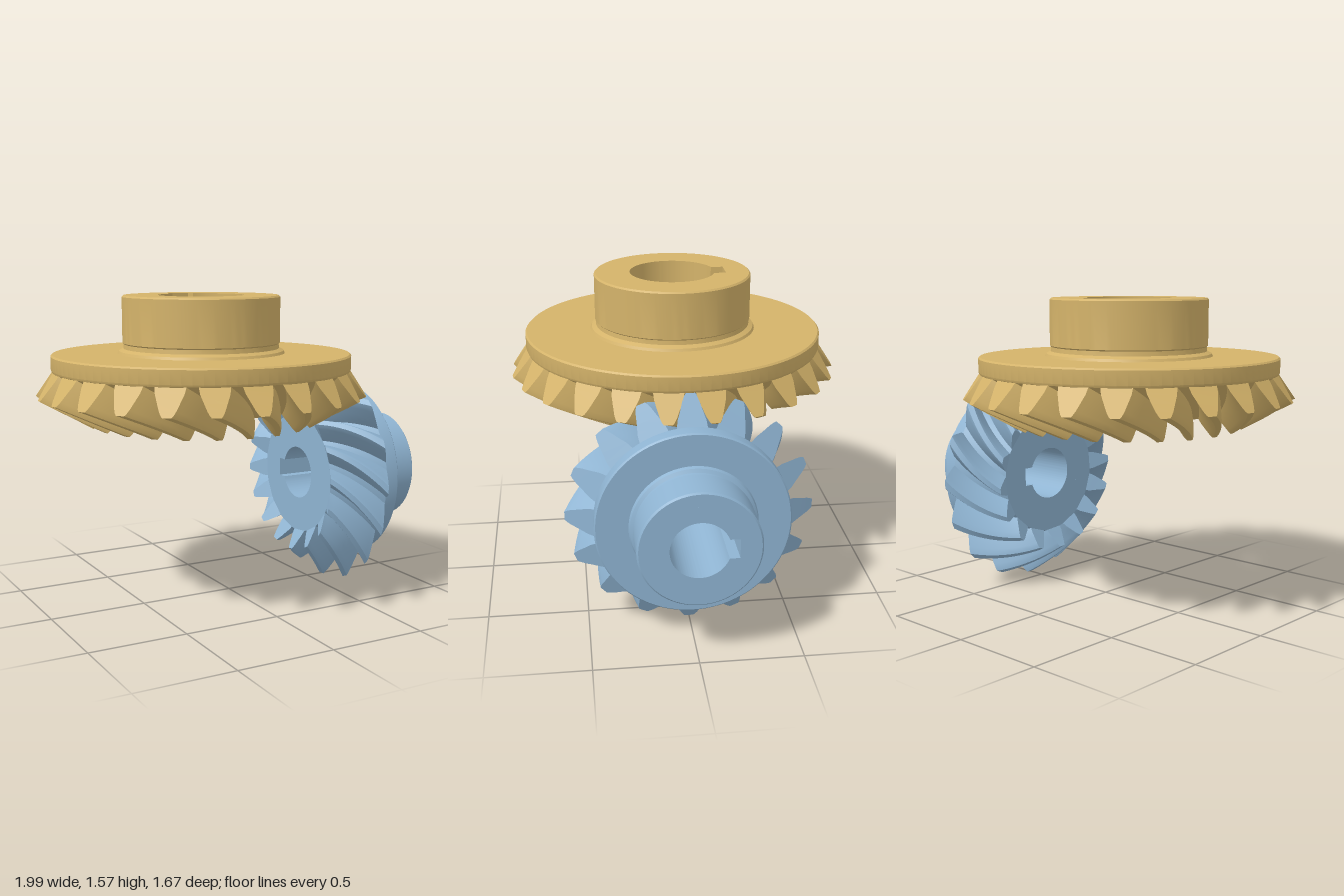
import * as THREE from 'three';
import { toCreasedNormals } from 'three/addons/utils/BufferGeometryUtils.js';

const INNER = 0.695; // inner tooth end, as a fraction of the cone distance
const DEDENDUM = 0.08;

// One spiral tooth, lofted towards the cone apex at the local origin.
function toothGeometry({ pitchR, pitchH, addendum, twist }) {
  const cone = Math.hypot(pitchR, pitchH);
  const nr = pitchH / cone, nh = -pitchR / cone;
  // height above the pitch cone, half thickness
  const flank = [[-DEDENDUM - 0.008, 0.073], [-0.045, 0.067], [0, 0.052],
    [addendum * 0.55, 0.039], [addendum * 0.85, 0.029], [addendum, 0.021]];
  const loop = [
    ...flank.map(([a, w]) => [a, w]),
    ...flank.slice().reverse().map(([a, w]) => [a, -w]),
  ];
  const M = loop.length, steps = 12;
  const pos = [], index = [];
  for (let k = 0; k <= steps; k++) {
    const t = k / steps;
    const s = 1 + (INNER - 1) * t;
    for (const [a, w] of loop) {
      const r = pitchR + nr * a, h = pitchH + nh * a;
      const angle = w / r + twist * t;
      pos.push(r * s * Math.sin(angle), h * s, r * s * Math.cos(angle));
    }
  }
  const quad = (a, b, c, d) => index.push(a, b, c, a, c, d);
  for (let k = 0; k < steps; k++) {
    for (let j = 0; j < M; j++) {
      const n = (j + 1) % M;
      quad(k * M + j, k * M + n, (k + 1) * M + n, (k + 1) * M + j);
    }
  }
  // end caps
  const last = steps * M;
  for (let j = 0; j < flank.length - 1; j++) {
    quad(M - 1 - j, M - 2 - j, j + 1, j);
    quad(last + j, last + j + 1, last + M - 2 - j, last + M - 1 - j);
  }
  const g = new THREE.BufferGeometry();
  g.setAttribute('position', new THREE.Float32BufferAttribute(pos, 3));
  g.setIndex(index);
  return toCreasedNormals(g, 0.5);
}

// Central sleeve with a round bore and a keyway towards -z.
function coreGeometry({ coreR, boreR, keyHalf, keyDepth, bottom, top }) {
  const shape = new THREE.Shape().absarc(0, 0, coreR, 0, Math.PI * 2, false);
  const hole = new THREE.Path();
  const a = Math.asin(keyHalf / boreR);
  hole.absarc(0, 0, boreR, Math.PI / 2 - a, Math.PI / 2 + a, true);
  hole.lineTo(-keyHalf, keyDepth);
  hole.lineTo(keyHalf, keyDepth);
  hole.closePath();
  shape.holes.push(hole);
  const g = new THREE.ExtrudeGeometry(shape, {
    depth: top - bottom, bevelEnabled: false, curveSegments: 64,
  });
  g.rotateX(-Math.PI / 2).translate(0, bottom, 0);
  return toCreasedNormals(g, 0.5);
}

// Complete bevel gear around local y, with its cone apex at the origin.
function bevelGear(spec, material) {
  const { pitchR, pitchH, teeth, phase, coreR, back } = spec;
  const gear = new THREE.Group();
  const add = (geometry, name) => {
    const mesh = new THREE.Mesh(geometry, material);
    mesh.name = name;
    gear.add(mesh);
    return mesh;
  };

  const cone = Math.hypot(pitchR, pitchH);
  const rootR = pitchR - DEDENDUM * pitchH / cone;
  const rootH = pitchH + DEDENDUM * pitchR / cone;
  const bottom = rootH * INNER;
  const top = back[back.length - 1][1];

  // web, root cone, rim disc, groove and hub
  const profile = [[coreR, bottom], [rootR * INNER, bottom], [rootR, rootH], ...back, [coreR, top]]
    .map(([r, h]) => new THREE.Vector2(r, h));
  add(toCreasedNormals(new THREE.LatheGeometry(profile, 96), 0.4), 'gearBody');
  add(coreGeometry({ ...spec, bottom, top }), 'keyedBore');

  const tooth = toothGeometry(spec);
  for (let i = 0; i < teeth; i++) {
    add(tooth, 'tooth').rotation.y = (i + phase) * Math.PI * 2 / teeth;
  }
  return gear;
}

export function createModel() {
  const brass = new THREE.MeshStandardMaterial({ color: 0xd4b36a });
  brass.name = 'brass';
  const steelBlue = new THREE.MeshStandardMaterial({ color: 0x8fb4d2 });
  steelBlue.name = 'steelBlue';

  const crown = bevelGear({
    pitchR: 0.8, pitchH: 0.533, teeth: 24, phase: 0.5, addendum: 0.07, twist: 0.32,
    coreR: 0.3, boreR: 0.217, keyHalf: 0.06, keyDepth: 0.27,
    back: [[0.76, 0.61], [0.76, 0.677], [0.752, 0.685], [0.425, 0.685], [0.418, 0.698],
      [0.396, 0.71], [0.393, 0.732], [0.4, 0.738], [0.4, 0.967], [0.392, 0.975]],
  }, brass);
  crown.name = 'largeGear';
  crown.position.set(-0.16, 0.6, 0);

  const pinion = bevelGear({
    pitchR: 0.533, pitchH: 0.8, teeth: 16, phase: 0, addendum: 0.08, twist: -0.48,
    coreR: 0.22, boreR: 0.14, keyHalf: 0.048, keyDepth: 0.18,
    back: [[0.467, 0.85], [0.467, 0.913], [0.46, 0.92], [0.306, 0.92], [0.3, 0.936],
      [0.284, 0.946], [0.282, 0.964], [0.288, 0.97], [0.288, 1.15], [0.28, 1.158]],
  }, steelBlue);
  pinion.name = 'smallGear';
  pinion.position.set(-0.16, 0.6, 0);
  pinion.rotation.z = -Math.PI / 2;

  const model = new THREE.Group();
  model.name = 'bevelGearPair';
  model.add(crown, pinion);
  return model;
}
